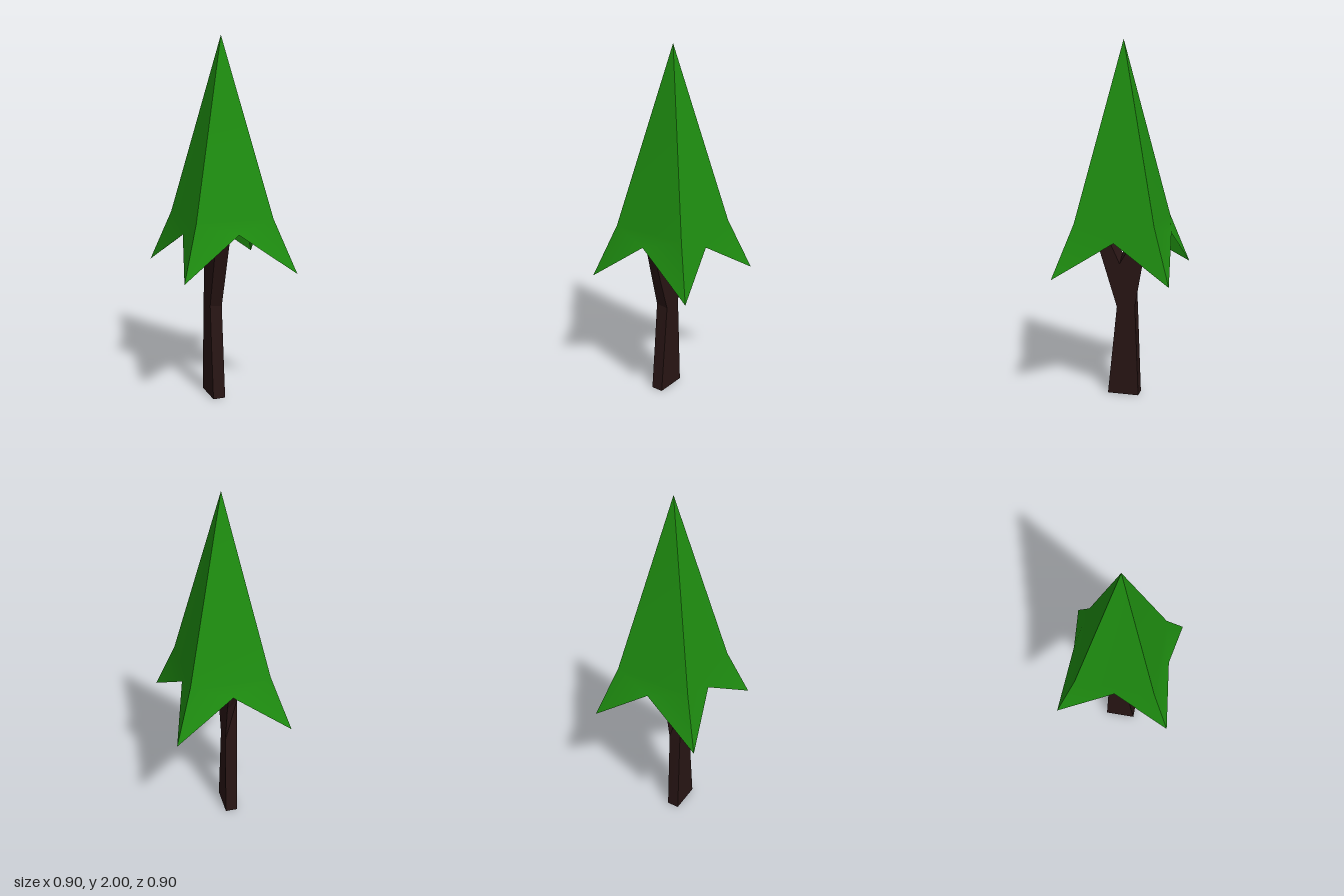
import * as THREE from 'three';

function meshFrom(name, points, index, material, flat) {
  let geometry = new THREE.BufferGeometry();
  geometry.setAttribute('position', new THREE.Float32BufferAttribute(points.flat(), 3));
  geometry.setIndex(index);
  if (flat) geometry = geometry.toNonIndexed();
  geometry.computeVertexNormals();
  const mesh = new THREE.Mesh(geometry, material);
  mesh.name = name;
  return mesh;
}

// Four hollow panels with hard ridges, each ending in two points and a notch
function createCanopy() {
  const canopy = new THREE.Group();
  canopy.name = 'canopy';
  const material = new THREE.MeshStandardMaterial({ color: 0x1e8c10, side: THREE.DoubleSide });
  for (let i = 0; i < 4; i++) {
    const at = (r, y, turn) => {
      const a = (i + turn) * Math.PI / 2;
      return [r * Math.cos(a), y, r * Math.sin(a)];
    };
    const wide = i % 2 === 0;
    const points = [
      [0, 2, 0],
      at(0.31, 1.03, 0), at(0.31, 1.03, 1),   // ridge bends
      at(0.45, 0.74, 0), at(0.45, 0.74, 1),   // drooping tips
      at((wide ? 0.19 : 0.157) * Math.SQRT2, wide ? 0.965 : 0.935, 0.5), // notch
    ];
    const index = [0, 2, 1, 1, 2, 5, 1, 5, 3, 2, 4, 5];
    canopy.add(meshFrom('canopyPanel', points, index, material, false));
  }
  return canopy;
}

// Forked slab set diagonally: matching outlines on its two faces, joined round the rim
function createTrunk() {
  const back = [[-0.083, 0], [0.097, 0], [0.071, 0.25], [0.043, 0.52], [0.175, 0.945],
    [0.118, 0.965], [0.027, 0.77], [-0.1, 0.99], [-0.155, 0.95], [-0.105, 0.775], [-0.062, 0.53]];
  const front = [[-0.083, 0], [0.097, 0], [0.072, 0.25], [0.046, 0.53], [0.15, 0.945],
    [0.1, 0.965], [0.027, 0.82], [-0.07, 0.99], [-0.12, 0.96], [-0.047, 0.79], [-0.063, 0.53]];
  const place = (w) => ([s, y]) => [(s + w) * Math.SQRT1_2, y, (s - w) * Math.SQRT1_2];
  const points = [...front.map(place(-0.081)), ...back.map(place(-0.011))];
  const n = front.length;
  const index = [];
  const cap = (outline) => THREE.ShapeUtils.triangulateShape(
    outline.map(([s, y]) => new THREE.Vector2(s, y)), []);
  for (const [a, b, c] of cap(front)) index.push(a, b, c);
  for (const [a, b, c] of cap(back)) index.push(n + a, n + c, n + b);
  for (let i = 0; i < n; i++) {
    const j = (i + 1) % n;
    index.push(i, n + i, n + j, i, n + j, j);
  }
  const bark = new THREE.MeshStandardMaterial({ color: 0x281514, flatShading: true });
  return meshFrom('trunk', points, index, bark, true);
}

export function createModel() {
  const tree = new THREE.Group();
  tree.name = 'tree';
  tree.add(createCanopy(), createTrunk());
  return tree;
}
